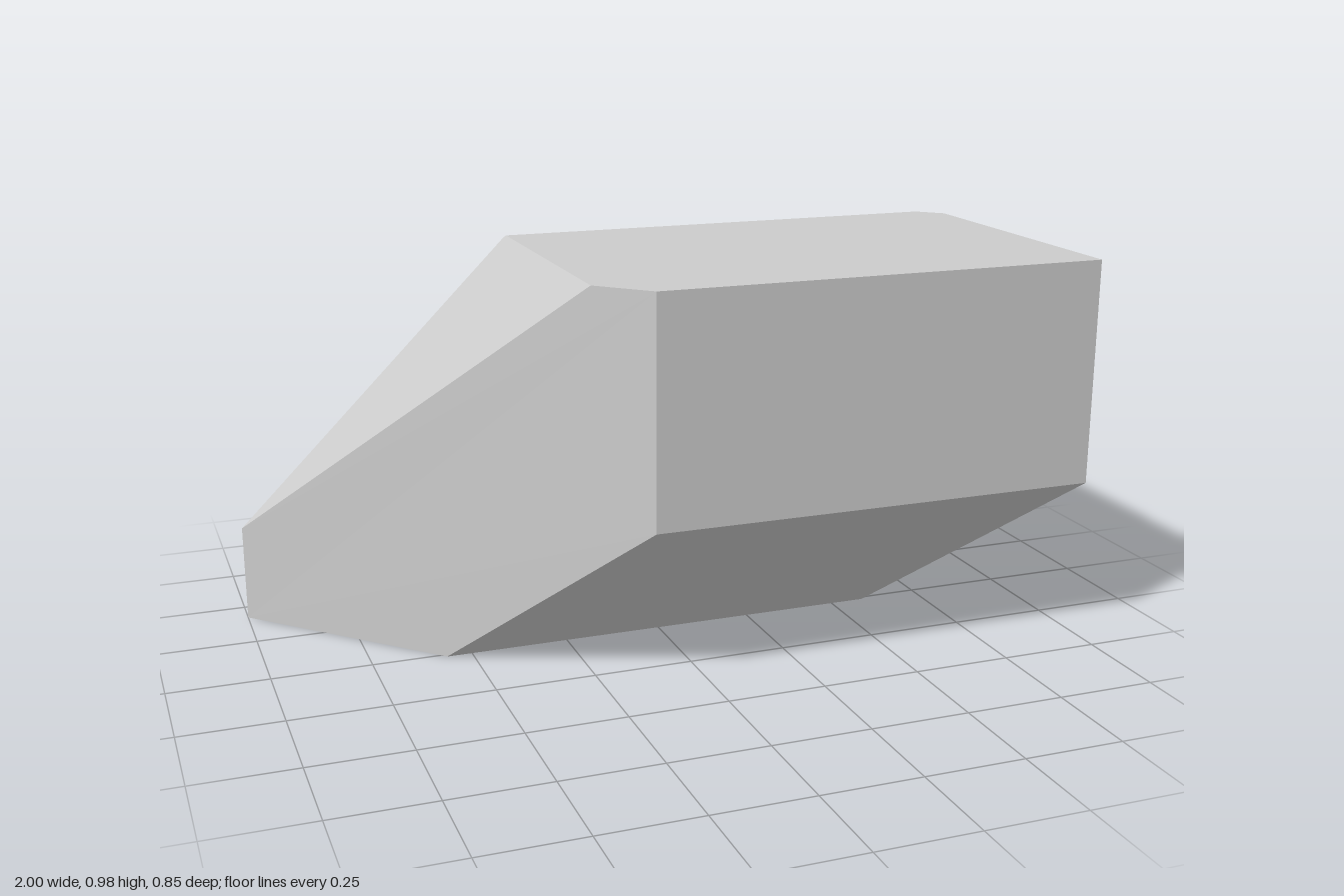
import * as THREE from 'three';
import { ConvexGeometry } from 'three/addons/geometries/ConvexGeometry.js';

export function createModel() {
  const group = new THREE.Group();
  const top = 0.98, front = 0.423, back = -0.423, belly = 0.41;
  const bevel = 0.005; // fine bevel along the upper back edge

  // corners of the faceted solid, all cuts at 45 degrees
  const corners = [
    // bottom face
    [-1, 0, back], [-0.564, 0, 0.013], [0.59, 0, 0.013], [0.59, 0, back],
    // front face
    [-0.154, belly, front], [1, belly, front], [1, top, front], [-0.154, top, front],
    // slanted left end
    [-1, 0.25, back], [-0.27, top, 0.307],
    // chamfered back right corner
    [1, belly, -0.359], [1, top, -0.359], [0.936, 0.346, back],
    // bevelled upper back edge
    [-0.27, top, back + bevel], [-0.27 - bevel, top - bevel, back],
    [0.936 + bevel, top, back + bevel], [0.936, top - bevel, back],
  ].map((p) => new THREE.Vector3(...p));

  const material = new THREE.MeshStandardMaterial({ color: 0xcccccc, flatShading: true });
  const body = new THREE.Mesh(new ConvexGeometry(corners), material);
  body.name = 'facetedBlock';
  group.add(body);
  return group;
}
